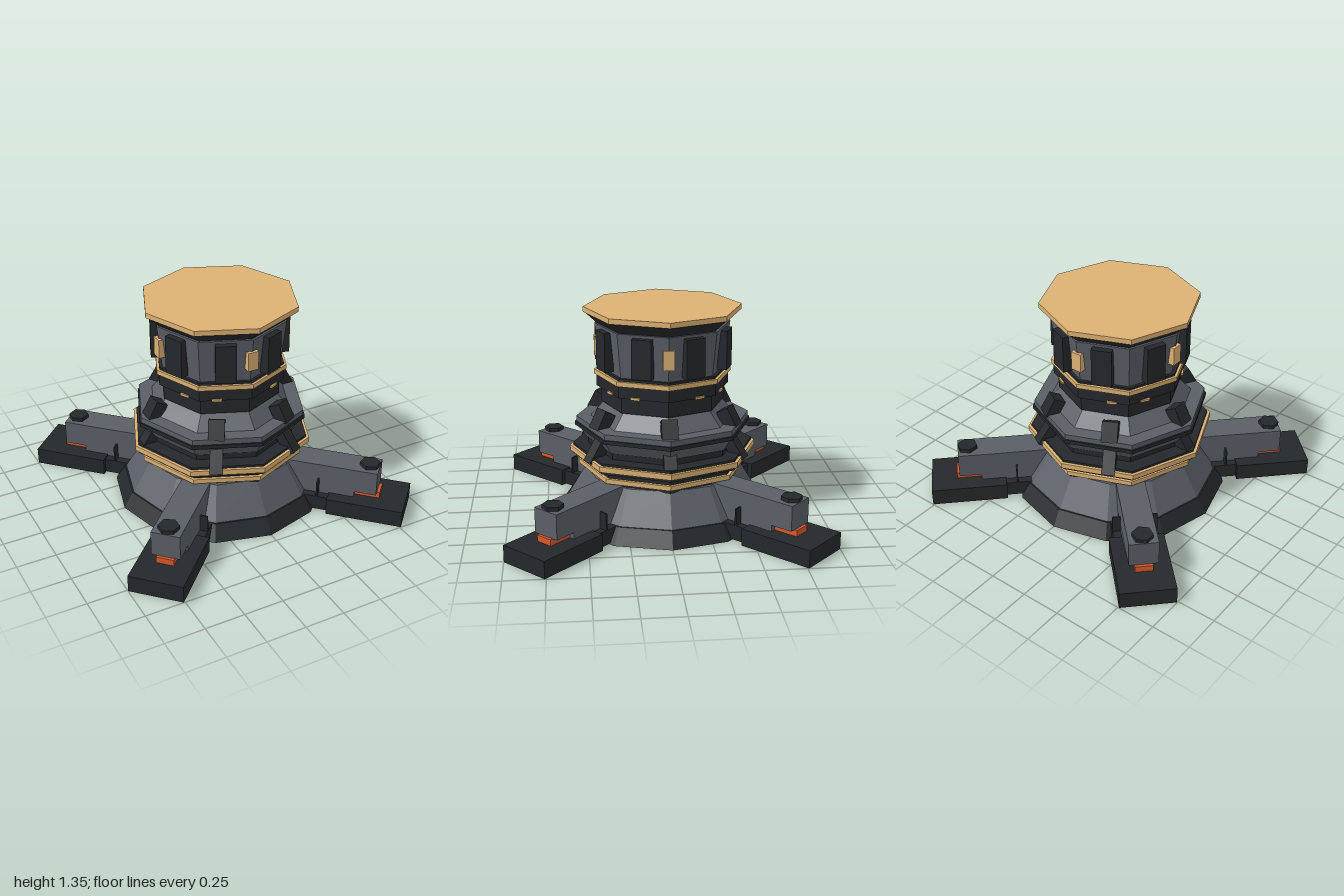
import * as THREE from 'three';

const paint = (color) => new THREE.MeshStandardMaterial({ color, flatShading: true });
const DARK = paint(0x25282b), GREY = paint(0x5a5f67), GOLD = paint(0xdcb274), ORANGE = paint(0xd9592b);

export function createModel() {
  const model = new THREE.Group();
  model.name = 'turretPedestal';

  function add(parent, name, geometry, material) {
    const mesh = new THREE.Mesh(geometry, material);
    mesh.name = name;
    parent.add(mesh);
    return mesh;
  }

  // Faceted drum from y0 (radius r0) to y1 (radius r1)
  function tier(name, material, y0, y1, r0, r1 = r0, sides = 8) {
    const mesh = add(model, name, new THREE.CylinderGeometry(r1, r0, y1 - y0, sides), material);
    mesh.position.y = (y0 + y1) / 2;
  }

  // Boxes spread around the axis, optionally leaning inward at the top
  function ring(name, material, count, start, radius, y, [w, h, d], lean = 0) {
    const group = new THREE.Group();
    group.name = name + 's';
    for (let i = 0; i < count; i++) {
      const arm = new THREE.Group();
      arm.rotation.y = start + (i / count) * Math.PI * 2;
      const box = add(arm, name, new THREE.BoxGeometry(w, h, d), material);
      box.position.set(0, y, radius);
      box.rotation.x = -lean;
      group.add(arm);
    }
    model.add(group);
  }

  // Base
  tier('baseSkirt', DARK, 0, 0.1, 0.69, 0.63, 12);
  tier('baseCone', GREY, 0.1, 0.3, 0.62, 0.5, 12);

  // Lower collar
  tier('collarSeat', DARK, 0.29, 0.32, 0.51);
  tier('lowerGoldRing', GOLD, 0.32, 0.35, 0.54);
  tier('collarSpacer', DARK, 0.35, 0.39, 0.52);
  tier('wideRingBottom', DARK, 0.39, 0.41, 0.575);
  tier('wideGoldRing', GOLD, 0.41, 0.445, 0.595);
  tier('wideRingTop', DARK, 0.445, 0.46, 0.575);

  // Waist
  tier('waistCore', DARK, 0.46, 0.5, 0.48);
  tier('waistFlare', GREY, 0.5, 0.58, 0.49, 0.54);
  tier('waistRing', DARK, 0.58, 0.605, 0.56);
  tier('waistDeck', GREY, 0.605, 0.64, 0.55);
  tier('shoulderCone', GREY, 0.64, 0.74, 0.46, 0.37);
  ring('lowerClamp', DARK, 6, Math.PI / 2, 0.5, 0.475, [0.08, 0.16, 0.07], 0.6);
  ring('upperClamp', DARK, 6, Math.PI / 2, 0.455, 0.672, [0.1, 0.13, 0.08], 0.5);

  // Neck
  tier('neck', DARK, 0.735, 0.83, 0.39);
  tier('neckGoldSeam', GOLD, 0.83, 0.838, 0.39);
  tier('neckCollar', DARK, 0.838, 0.915, 0.418);
  tier('neckGoldRing', GOLD, 0.915, 0.945, 0.432);
  tier('neckCap', DARK, 0.945, 0.96, 0.415);
  ring('neckLight', GOLD, 12, 0, 0.385, 0.843, [0.06, 0.015, 0.03]);

  // Head
  tier('headDrum', GREY, 0.96, 1.24, 0.395, 0.425);
  ring('headPanel', DARK, 8, Math.PI / 8, 0.4, 1.1, [0.125, 0.245, 0.06]);
  ring('headWindow', GOLD, 4, 0, 0.41, 1.1, [0.07, 0.12, 0.04]);
  tier('headFlare', DARK, 1.24, 1.312, 0.41, 0.487);
  tier('topPlate', GOLD, 1.312, 1.345, 0.495);

  // Four diagonal outriggers, each built along its own +z
  for (let i = 0; i < 4; i++) {
    const leg = new THREE.Group();
    leg.name = 'outrigger';
    leg.rotation.y = Math.PI / 4 + (i * Math.PI) / 2;
    model.add(leg);
    const beam = (name, material, width, y0, y1, z0, z1) => {
      const mesh = add(leg, name, new THREE.BoxGeometry(width, y1 - y0, z1 - z0), material);
      mesh.position.set(0, (y0 + y1) / 2, (z0 + z1) / 2);
    };
    beam('footPad', DARK, 0.34, 0, 0.11, 0.76, 1.243);
    beam('footNeck', DARK, 0.28, 0.005, 0.1, 0.5, 0.76);
    beam('jointPlate', DARK, 0.28, 0.08, 0.21, 0.685, 0.695);
    beam('arm', GREY, 0.18, 0.15, 0.31, 0.35, 1.06);
    beam('armUnderside', GREY, 0.178, 0.1, 0.15, 0.45, 0.92);
    beam('shockPad', ORANGE, 0.11, 0.11, 0.15, 0.91, 1.078);
    const bolt = add(leg, 'armBolt', new THREE.CylinderGeometry(0.065, 0.065, 0.03, 6), DARK);
    bolt.position.set(0, 0.32, 0.997);
    bolt.rotation.y = -leg.rotation.y;
  }
  return model;
}
